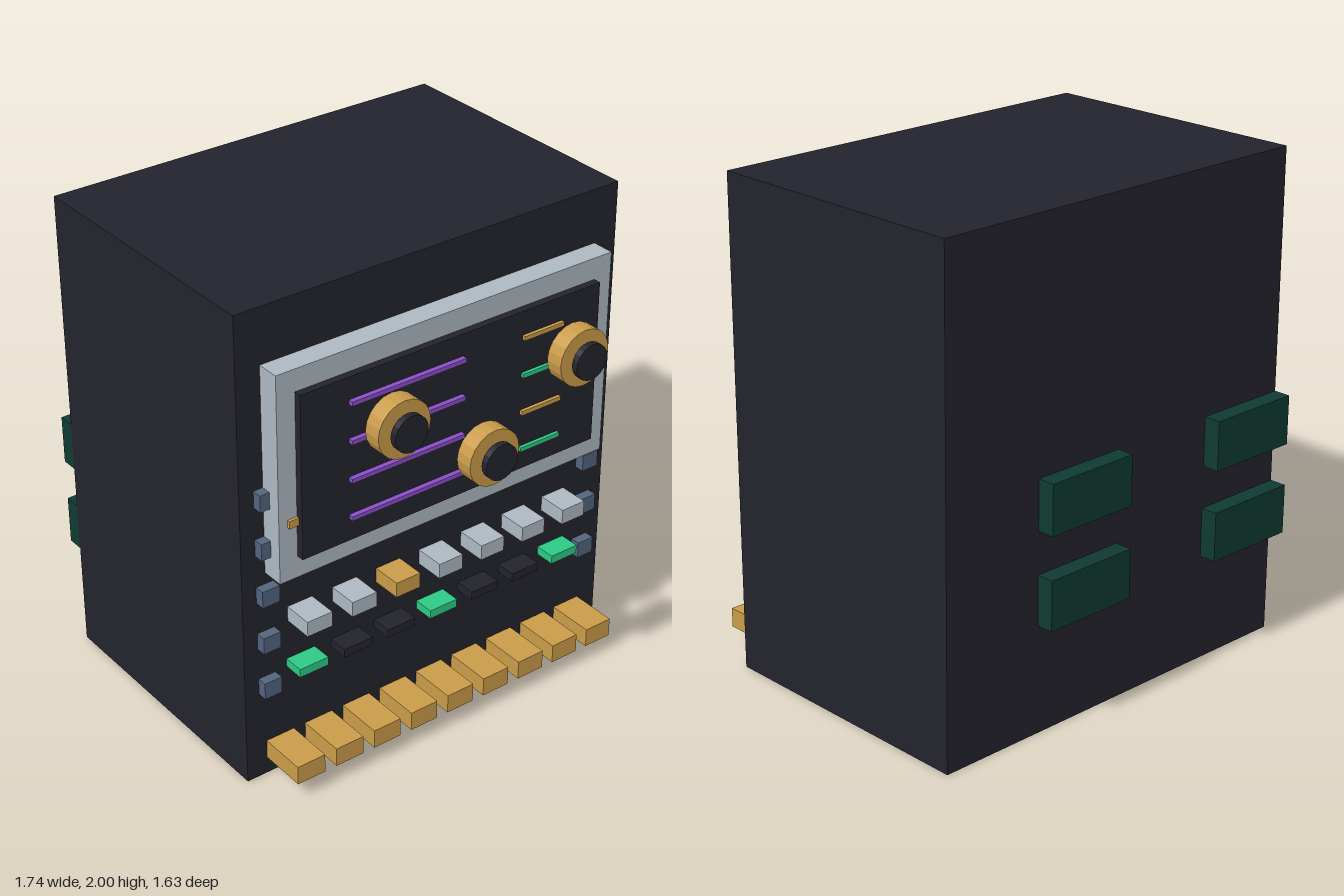
import * as THREE from 'three';

const mat = (name, color, flatShading = false) => {
  const m = new THREE.MeshStandardMaterial({ color, flatShading });
  m.name = name;
  return m;
};

export function createModel() {
  const model = new THREE.Group();
  model.name = 'controlCabinet';

  const dark = mat('charcoal', 0x23232d);
  const steel = mat('paleSteel', 0xacb8c1);
  const gold = mat('brass', 0xc99b49);
  const slate = mat('slateBlue', 0x52647d);
  const purple = mat('purple', 0x8a4fc8);
  const green = mat('green', 0x2ec985);
  const pine = mat('darkGreen', 0x0f3a31);

  // Box given by its limits on each axis
  const box = (name, m, x0, x1, y0, y1, z0, z1) => {
    const mesh = new THREE.Mesh(new THREE.BoxGeometry(x1 - x0, y1 - y0, z1 - z0), m);
    mesh.position.set((x0 + x1) / 2, (y0 + y1) / 2, (z0 + z1) / 2);
    mesh.name = name;
    model.add(mesh);
  };
  // Disc whose axis points to the front
  const disc = (name, m, r, x, y, z0, z1) => {
    const geo = new THREE.CylinderGeometry(r, r, z1 - z0, 20).toNonIndexed();
    geo.computeVertexNormals(); // faceted rim
    geo.rotateX(Math.PI / 2);
    const mesh = new THREE.Mesh(geo, m);
    mesh.position.set(x, y, (z0 + z1) / 2);
    mesh.name = name;
    model.add(mesh);
  };

  const front = 0.417;

  // Cabinet, display frame and screen
  box('cabinet', dark, -0.87, 0.87, 0, 2, -0.743, front);
  box('displayFrame', steel, -0.767, 0.767, 0.915, 1.775, front, 0.511);
  box('screen', dark, -0.688, 0.688, 1.005, 1.685, 0.511, 0.542);
  box('frameTab', gold, -0.73, -0.66, 1.143, 1.175, 0.511, 0.523);

  // Trace lines on the screen
  [1.585, 1.427, 1.267, 1.108].forEach((y, i) => {
    box('longTrace', purple, -0.48, 0.035, y - 0.009, y + 0.009, 0.542, 0.563);
    box('shortTrace', i % 2 ? green : gold, 0.305, 0.495, y - 0.009, y + 0.009, 0.553, 0.568);
  });

  // Dials standing clear of the screen
  for (const [x, y] of [[-0.413, 1.56], [0.413, 1.56], [0, 1.29]]) {
    disc('dial', gold, 0.115, x, y, 0.7, 0.773);
    disc('dialCap', dark, 0.073, x, y, 0.787, 0.814);
  }

  // Side studs
  for (const x of [-0.77, 0.77]) {
    for (let i = 0; i < 5; i++) {
      const y = 0.42 + i * 0.206;
      box('stud', slate, x - 0.038, x + 0.038, y - 0.035, y + 0.035, front, 0.458);
    }
  }

  // Button row and indicator row
  for (let i = 0; i < 7; i++) {
    const x = (i - 3) * 0.205;
    box('button', i === 2 ? gold : steel, x - 0.056, x + 0.056, 0.66, 0.724, front, 0.542);
    box('indicator', i % 3 ? dark : green, x - 0.065, x + 0.065, 0.455, 0.491, front, 0.503);
  }

  // Key row along the base
  for (let i = 0; i < 9; i++) {
    const x = (i - 4) * 0.179;
    box('key', gold, x - 0.063, x + 0.063, 0.072, 0.152, front, 0.617);
  }

  // Rear vents
  for (const x of [-0.87, 0.013]) {
    for (const y of [0.44, 0.816]) {
      box('rearVent', pine, x, x + 0.408, y, y + 0.203, -0.814, -0.743);
    }
  }

  return model;
}
